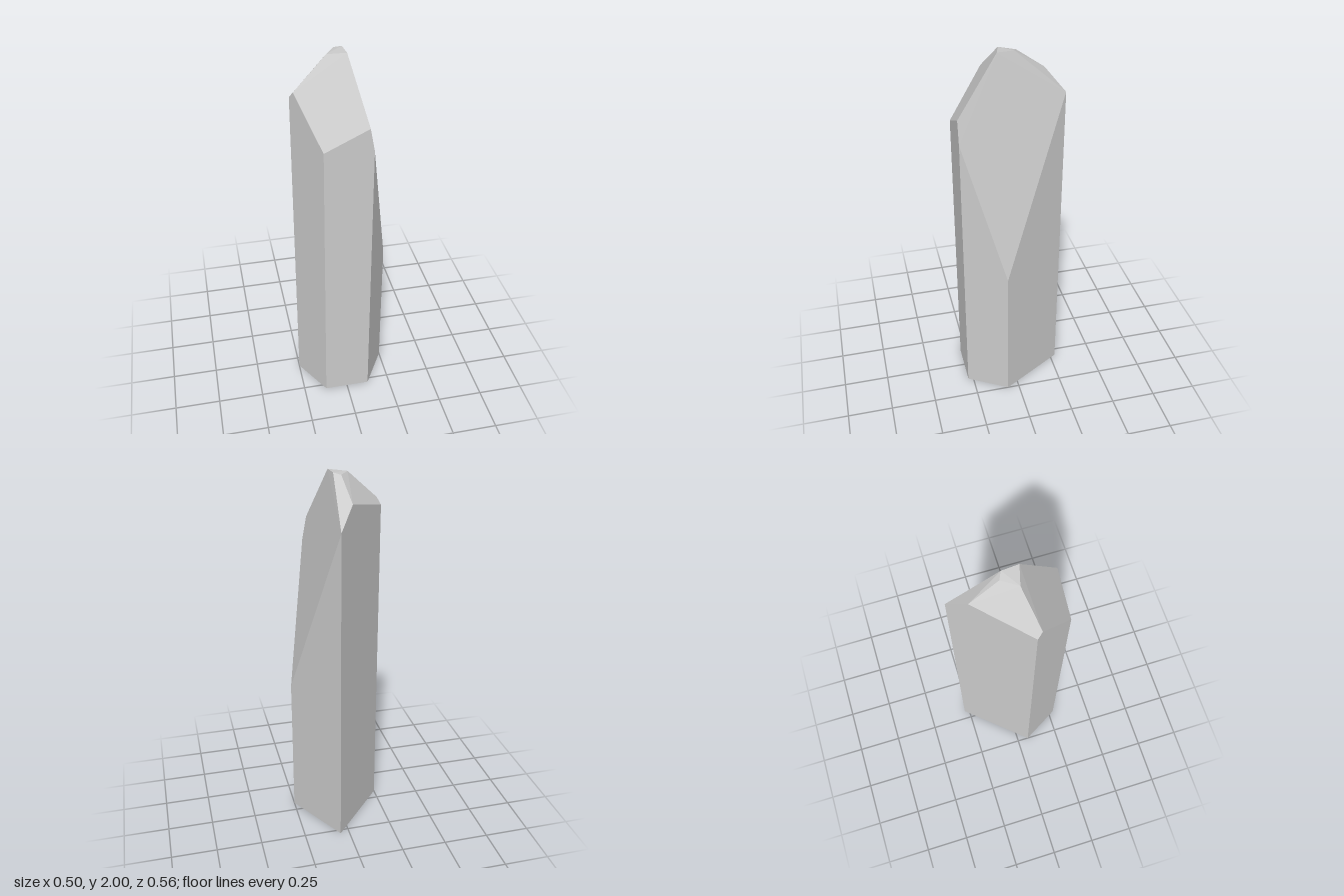
import * as THREE from 'three';
import { ConvexGeometry } from 'three/addons/geometries/ConvexGeometry.js';

export function createModel() {
  const group = new THREE.Group();
  group.name = 'crystal';

  // five-sided prism: x, z and the height at which each upright edge is cut
  const edges = [
    [-0.25, 0.065, 1.8],
    [-0.125, 0.28, 1.595],
    [0.125, 0.28, 1.58],
    [0.25, 0.065, 0.8],
    [0.05, -0.28, 1.77],
  ];
  // corners of the cut facets at the tip
  const tip = [
    [-0.234, 1.835, 0.092],
    [0.102, 1.703, 0.28],
    [-0.03, 1.88, -0.188],
    [-0.063, 1.99, 0.04],
    [0.033, 2, 0.066],
    [0.026, 2, -0.02],
    [-0.011, 1.99, -0.038],
  ];

  const points = tip.map((p) => new THREE.Vector3(...p));
  for (const [x, z, top] of edges) {
    points.push(new THREE.Vector3(x, 0, z), new THREE.Vector3(x, top, z));
  }

  // every facet is planar, so the body is the hull of its corners
  const body = new THREE.Mesh(
    new ConvexGeometry(points),
    new THREE.MeshStandardMaterial({ color: 0xcccccc, flatShading: true })
  );
  body.name = 'crystalShard';
  group.add(body);
  return group;
}
